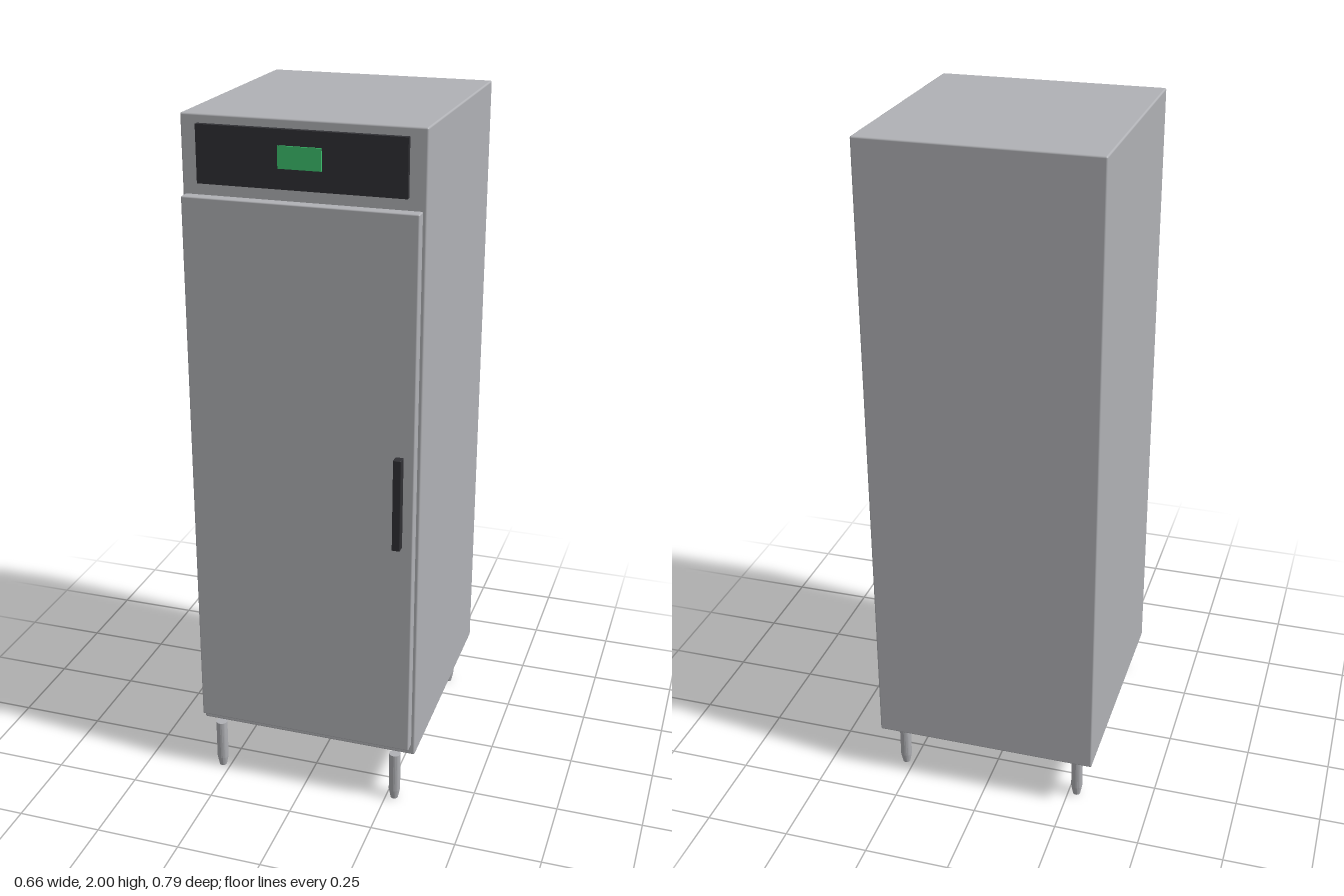
import * as THREE from 'three';
import { RoundedBoxGeometry } from 'three/addons/geometries/RoundedBoxGeometry.js';
import { toCreasedNormals } from 'three/addons/utils/BufferGeometryUtils.js';

export function createModel() {
  const model = new THREE.Group();
  model.name = 'uprightCabinet';

  const material = (name, color) => {
    const m = new THREE.MeshStandardMaterial({ color });
    m.name = name;
    return m;
  };
  const steel = material('steel', 0xb0b1b5);
  const charcoal = material('charcoal', 0x303034);
  const green = material('displayGreen', 0x3cc06e);

  // Box given by its limits along each axis, with optionally rounded edges
  const box = (name, mat, [x0, x1], [y0, y1], [z0, z1], radius = 0) => {
    const size = [x1 - x0, y1 - y0, z1 - z0];
    const geometry = radius
      ? new RoundedBoxGeometry(...size, 3, radius)
      : new THREE.BoxGeometry(...size);
    const mesh = new THREE.Mesh(geometry, mat);
    mesh.name = name;
    mesh.position.set((x0 + x1) / 2, (y0 + y1) / 2, (z0 + z1) / 2);
    model.add(mesh);
  };

  // Cabinet and door, separated by a thin gasket gap
  box('cabinet', steel, [-0.332, 0.332], [0.155, 2], [-0.395, 0.33], 0.005);
  box('door', steel, [-0.323, 0.323], [0.192, 1.79], [0.333, 0.368], 0.004);
  box('doorGasket', steel, [-0.31, 0.31], [0.205, 1.777], [0.329, 0.334]);

  // Control panel with display, and door handle
  box('controlPanel', charcoal, [-0.285, 0.285], [1.821, 1.976], [0.329, 0.345]);
  box('display', green, [-0.059, 0.059], [1.876, 1.935], [0.344, 0.35]);
  box('handle', charcoal, [0.27, 0.293], [0.854, 1.124], [0.367, 0.393], 0.002);

  // Round legs with tapered feet
  const legProfile = [[0, 0], [0.011, 0], [0.017, 0.03], [0.017, 0.155], [0, 0.155]]
    .map(([r, y]) => new THREE.Vector2(r, y));
  const legGeometry = toCreasedNormals(new THREE.LatheGeometry(legProfile, 20), 0.35);
  for (const x of [-0.275, 0.275]) {
    for (const z of [-0.335, 0.338]) {
      const leg = new THREE.Mesh(legGeometry, steel);
      leg.name = (z > 0 ? 'front' : 'back') + (x > 0 ? 'Left' : 'Right') + 'Leg';
      leg.position.set(x, 0, z);
      model.add(leg);
    }
  }
  return model;
}
